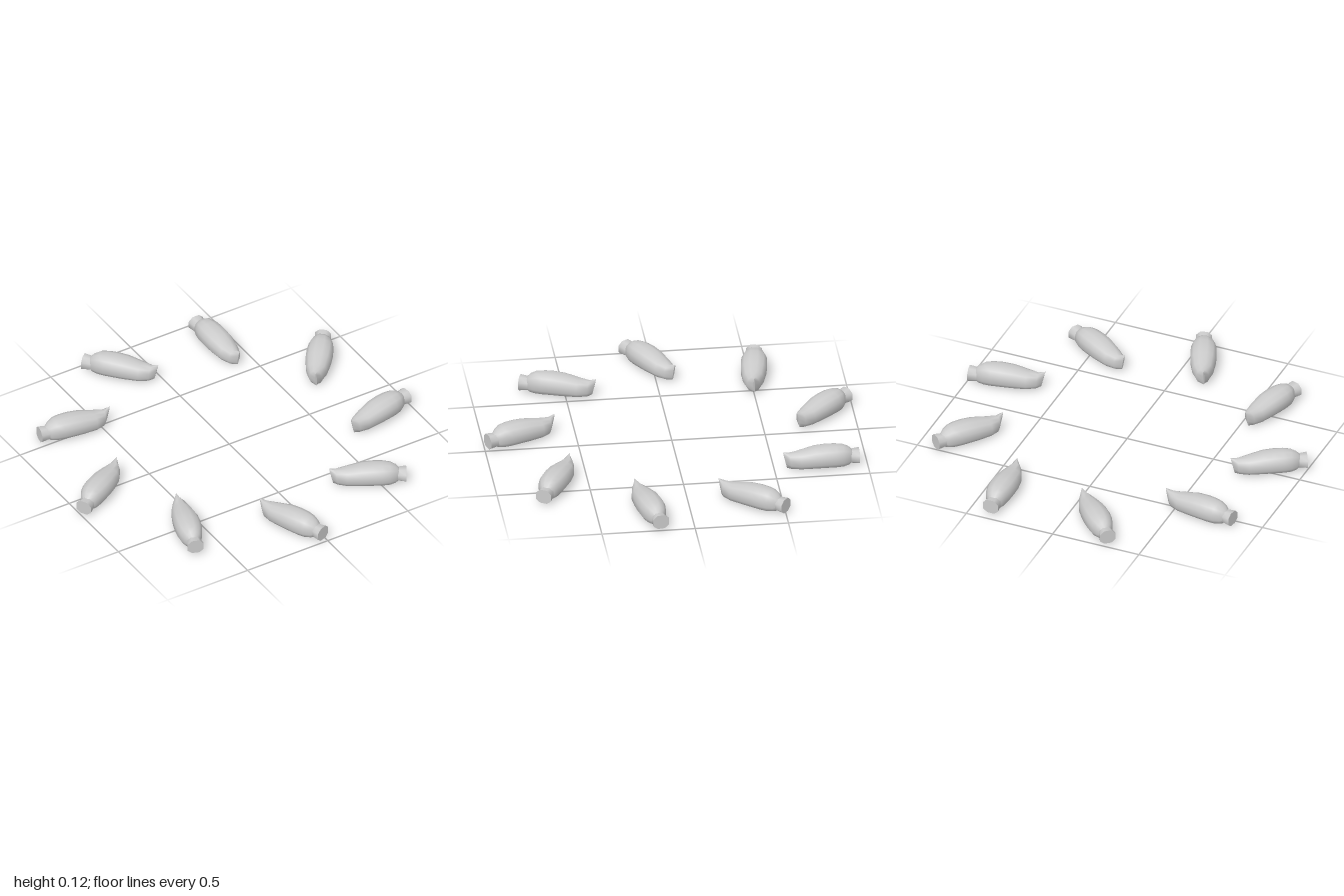
import * as THREE from 'three';

// Sections along the length: [z, centre x, half width, bottom y, top y, backward lean of the bottom]
const BODY = [
  [-0.545, 0.400, 0.004, 0.010, 0.103, 0.022],
  [-0.582, 0.393, 0.034, 0.003, 0.092, 0.008],
  [-0.640, 0.390, 0.055, 0.001, 0.098, 0],
  [-0.720, 0.387, 0.068, 0.003, 0.115, 0],
  [-0.780, 0.386, 0.070, 0.003, 0.120, 0],
  [-0.830, 0.385, 0.067, 0.001, 0.120, 0],
  [-0.870, 0.384, 0.058, 0.000, 0.116, 0],
  [-0.900, 0.381, 0.044, 0.005, 0.102, 0],
  [-0.920, 0.380, 0.026, 0.020, 0.082, 0],
];
const COLLAR = [
  [-0.870, 0.380, 0.034, 0.016, 0.080, 0],
  [-0.910, 0.378, 0.037, 0.014, 0.082, 0],
  [-0.957, 0.378, 0.045, 0.009, 0.087, 0],
];

// Skin a row of rounded, flat-bellied sections and close both ends
function loft(sections, sides) {
  const pos = [], index = [];
  const ring = ([z, cx, w, y0, y1, lean]) => {
    for (let j = 0; j < sides; j++) {
      const a = ((j + 0.5) / sides) * Math.PI * 2;
      const c = Math.cos(a), s = Math.sin(a) / Math.cos(Math.PI / sides * (sides % 4 ? 0 : 1));
      const power = s < 0 ? 0.75 : 0.92;
      const h = 0.5 + 0.5 * Math.sign(s) * Math.min(1, Math.abs(s)) ** power;
      const x = Math.sign(c) * Math.min(1, Math.abs(c) * 1.04) ** 0.9;
      pos.push(cx + w * x, y0 + (y1 - y0) * h, z - lean * (1 - h));
    }
  };
  sections.forEach(ring);
  for (let i = 0; i < sections.length - 1; i++) {
    for (let j = 0; j < sides; j++) {
      const a = i * sides + j, b = i * sides + (j + 1) % sides;
      index.push(a, a + sides, b, b, a + sides, b + sides);
    }
  }
  // End faces have their own vertices so their rims stay sharp
  [sections[0], sections.at(-1)].forEach((section, end) => {
    const base = pos.length / 3;
    ring(section);
    for (let j = 1; j < sides - 1; j++) {
      index.push(base, base + j + (end ? 1 : 0), base + j + (end ? 0 : 1));
    }
  });
  const geometry = new THREE.BufferGeometry();
  geometry.setAttribute('position', new THREE.Float32BufferAttribute(pos, 3));
  geometry.setIndex(index);
  geometry.computeVertexNormals();
  return geometry;
}

export function createModel() {
  const model = new THREE.Group();
  model.name = 'podRing';
  const material = new THREE.MeshStandardMaterial({ color: 0xcccccc });
  const centre = new THREE.Vector3(0.008, 0, -0.021);
  const bodyGeometry = loft(BODY, 12).translate(-centre.x, 0, -centre.z);
  const collarGeometry = loft(COLLAR, 8).translate(-centre.x, 0, -centre.z);

  // Nine identical pods, evenly turned around the centre
  const count = 9;
  for (let i = 0; i < count; i++) {
    const pod = new THREE.Group();
    pod.name = `pod${i + 1}`;
    const body = new THREE.Mesh(bodyGeometry, material);
    body.name = 'podBody';
    const collar = new THREE.Mesh(collarGeometry, material);
    collar.name = 'endCollar';
    pod.add(body, collar);
    pod.position.copy(centre);
    pod.rotation.y = (i / count) * Math.PI * 2;
    model.add(pod);
  }
  return model;
}
